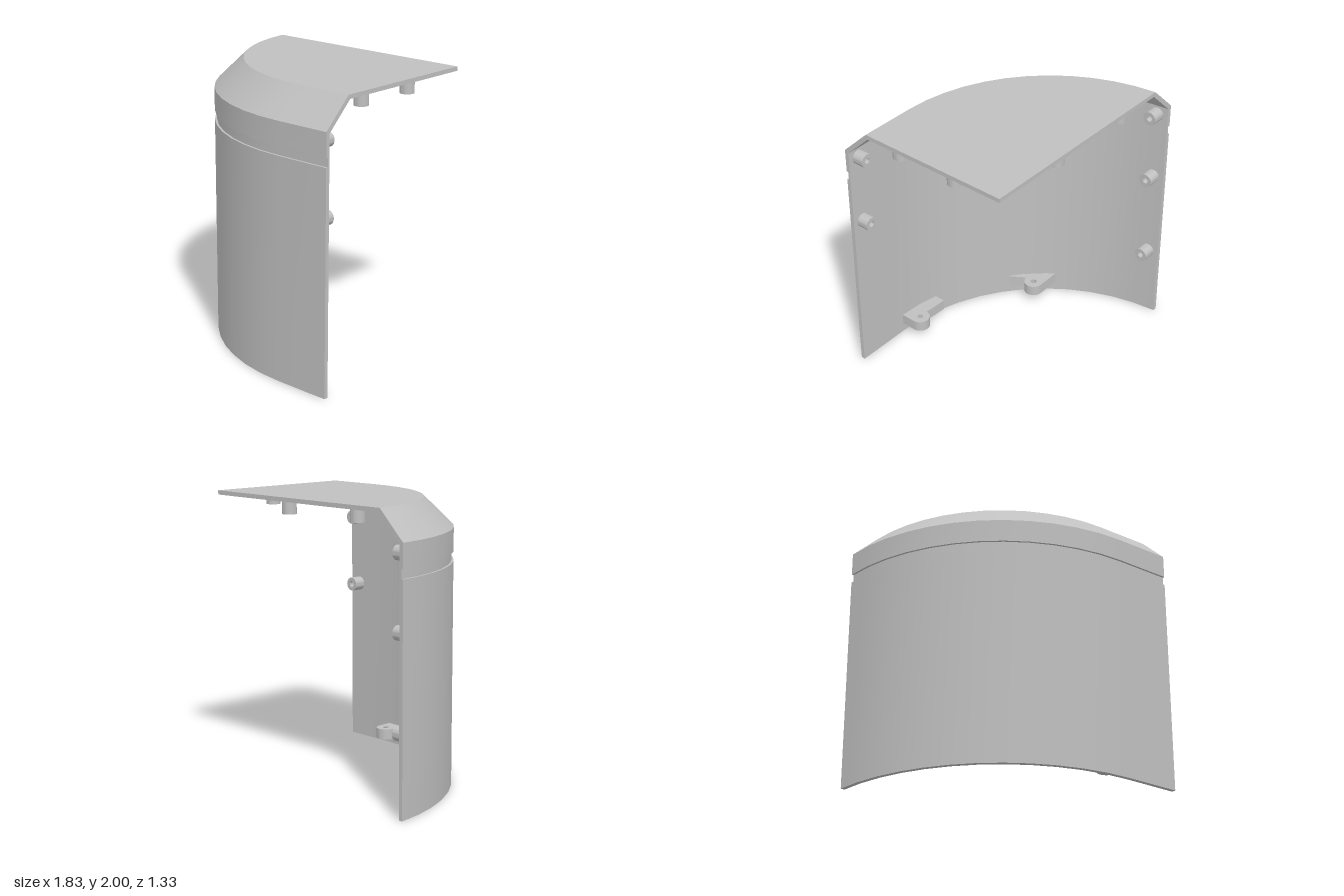
import * as THREE from 'three';
import { toCreasedNormals } from 'three/addons/utils/BufferGeometryUtils.js';

const CX = 0.5, CZ = -0.757, R = 1.418;   // plan arc
const BACK = -0.665, SIDE = 0.914;        // open cut planes
const SEGMENTS = 12;

// Plan outline inset by d: quarter arc, then a straight run to the side plane
function outline(d) {
  const r = R - d;
  const start = Math.PI - Math.asin((BACK - CZ) / r);
  const points = [];
  for (let i = 0; i <= SEGMENTS; i++) {
    const a = start + (Math.PI / 2 - start) * i / SEGMENTS;
    points.push([CX + r * Math.cos(a), CZ + r * Math.sin(a)]);
  }
  points.push([SIDE, CZ + r]);
  return points;
}

// Grooved, chamfered wall section swept along the outline: [inset, height]
function wallGeometry() {
  const outer = [[0, 0], [0, 1.57], [0.015, 1.57], [0.015, 1.635], [0, 1.635], [0, 1.8], [0.205, 2]];
  const inner = [[0.03, 0], [0.03, 1.55], [0.03, 1.58], [0.03, 1.62], [0.03, 1.65], [0.03, 1.785], [0.22, 1.97]];
  const section = [...outer, ...inner.reverse()];
  const n = section.length;
  const rows = section.map(([d, y]) => outline(d).map(([x, z]) => [x, y, z]));
  const positions = [];
  const quad = (a, b, c, d) => positions.push(...a, ...b, ...c, ...a, ...c, ...d);
  const last = rows[0].length - 1;
  for (let j = 0; j < n; j++) {
    const low = rows[j], high = rows[(j + 1) % n];
    for (let i = 0; i < last; i++) quad(low[i], low[i + 1], high[i + 1], high[i]);
  }
  // End caps
  for (let j = 0; j < outer.length - 1; j++) {
    const [a, b, c, d] = [rows[j], rows[j + 1], rows[n - 2 - j], rows[n - 1 - j]];
    quad(a[0], b[0], c[0], d[0]);
    quad(d[last], c[last], b[last], a[last]);
  }
  const geometry = new THREE.BufferGeometry();
  geometry.setAttribute('position', new THREE.Float32BufferAttribute(positions, 3));
  return geometry;
}

function extrude(shape, depth) {
  return new THREE.ExtrudeGeometry(shape, { depth, bevelEnabled: false, curveSegments: 16 });
}

// Plan shape (x, z) made into a slab whose upper face is at height top
function slab(shape, depth, top) {
  return extrude(shape, depth).rotateX(Math.PI / 2).translate(0, top, 0);
}

function addHole(shape, x, y, radius) {
  shape.holes.push(new THREE.Path().absarc(x, y, radius, 0, Math.PI * 2, true));
}

export function createModel() {
  const model = new THREE.Group();
  model.name = 'corner cover';
  const grey = new THREE.MeshStandardMaterial({ color: 0xc0c0c0 });
  grey.name = 'light grey';
  const add = (name, geometry) => {
    const mesh = new THREE.Mesh(toCreasedNormals(geometry, 0.5), grey);
    mesh.name = name;
    model.add(mesh);
    return mesh;
  };

  add('curvedWall', wallGeometry());

  // Flat roof plate
  const roof = new THREE.Shape();
  outline(0.205).forEach(([x, z], i) => (i ? roof.lineTo(x, z) : roof.moveTo(x, z)));
  roof.lineTo(SIDE, BACK);
  add('roof', slab(roof, 0.03, 2));

  // Hollow screw bosses, starting slightly sunk into the plate
  const ring = new THREE.Shape().absarc(0, 0, 0.05, 0, Math.PI * 2, false);
  addHole(ring, 0, 0, 0.022);
  const boss = (name, x, y, z, rx, ry) => {
    const mesh = add(name, extrude(ring, 0.1));
    mesh.position.set(x, y, z);
    mesh.rotation.set(rx, ry, 0);
  };
  for (const [x, z] of [[0.83, -0.23], [0.83, 0.235], [0.25, -0.58], [-0.42, -0.58]])
    boss('roofBoss', x, 1.98, z, Math.PI / 2, 0);
  for (const y of [1.72, 1.205]) boss('frontWallBoss', 0.83, y, 0.645, 0, Math.PI);
  for (const y of [1.72, 1.205, 0.545]) boss('sideWallBoss', -0.885, y, -0.58, 0, Math.PI / 2);

  // Mounting lugs near the floor, each a rounded eye with a flange
  const frontLug = new THREE.Shape();
  frontLug.moveTo(0.5, 0.645);
  frontLug.lineTo(0.5, 0.52);
  frontLug.absarc(0.43, 0.52, 0.07, 0, Math.PI, true);
  frontLug.lineTo(0.18, 0.51);
  frontLug.lineTo(0.18, 0.605);
  frontLug.lineTo(0.36, 0.635);
  addHole(frontLug, 0.43, 0.52, 0.022);
  add('frontLug', slab(frontLug, 0.08, 0.15));

  const sideLug = new THREE.Shape();
  sideLug.moveTo(-0.62, 0.07);
  sideLug.lineTo(-0.43, 0.07);
  sideLug.absarc(-0.43, 0.14, 0.07, -Math.PI / 2, Math.PI / 2, false);
  sideLug.lineTo(-0.36, 0.32);
  sideLug.lineTo(-0.385, 0.325);
  sideLug.lineTo(-0.51, 0.21);
  addHole(sideLug, -0.43, 0.14, 0.022);
  add('sideLug', slab(sideLug, 0.08, 0.15));

  return model;
}
